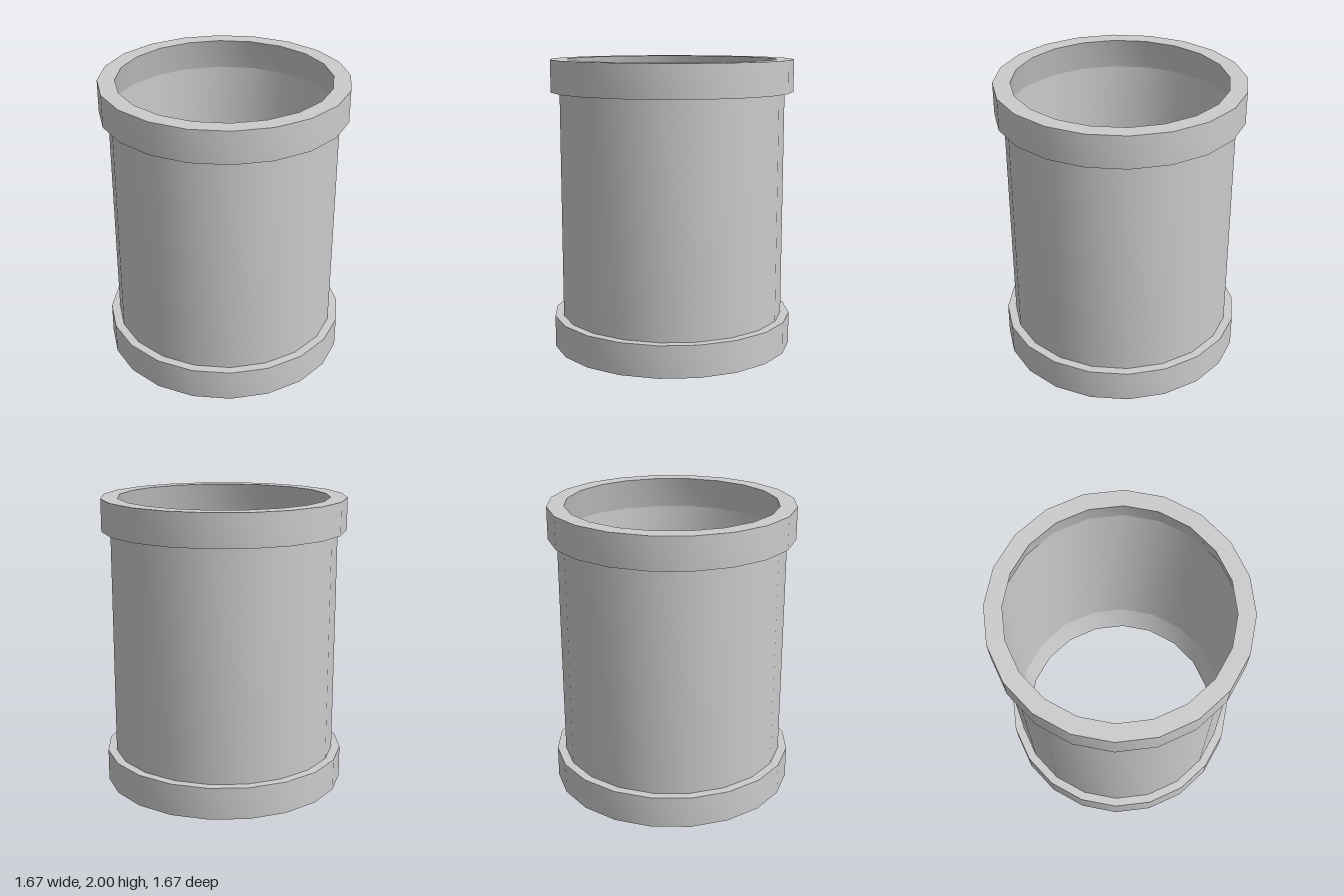
import * as THREE from 'three';
import { toCreasedNormals } from 'three/addons/utils/BufferGeometryUtils.js';

const SIDES = 20;
const WALL_R = 0.775, RIM_R = 0.835, MOUTH_R = 0.72;
const HEIGHT = 2, RIM_H = 0.22;

const material = new THREE.MeshStandardMaterial({ color: 0xcccccc, side: THREE.DoubleSide });

// Turns [radius, y] points into a 20-sided ring, smooth around and sharp at the edges
function turned(name, points) {
  const profile = points.map(([r, y]) => new THREE.Vector2(r, y));
  const geometry = toCreasedNormals(new THREE.LatheGeometry(profile, SIDES), 0.4);
  // average the normals around the axis so the sides shade as one round surface
  const mesh = new THREE.Mesh(geometry, material);
  mesh.name = name;
  return mesh;
}

export function createModel() {
  const group = new THREE.Group();
  group.name = 'pipeSection';

  // Straight pipe wall between the two collars
  group.add(turned('pipeWall', [[WALL_R, RIM_H], [WALL_R, HEIGHT - RIM_H]]));

  // Collars: outer band, ledge, flat end and an inside lip narrowing to the mouth
  group.add(turned('bottomCollar', [
    [WALL_R, RIM_H], [MOUTH_R, 0], [RIM_R, 0], [RIM_R, RIM_H], [WALL_R, RIM_H],
  ]));
  group.add(turned('topCollar', [
    [WALL_R, HEIGHT - RIM_H], [RIM_R, HEIGHT - RIM_H], [RIM_R, HEIGHT],
    [MOUTH_R, HEIGHT], [WALL_R, HEIGHT - RIM_H],
  ]));

  return group;
}
